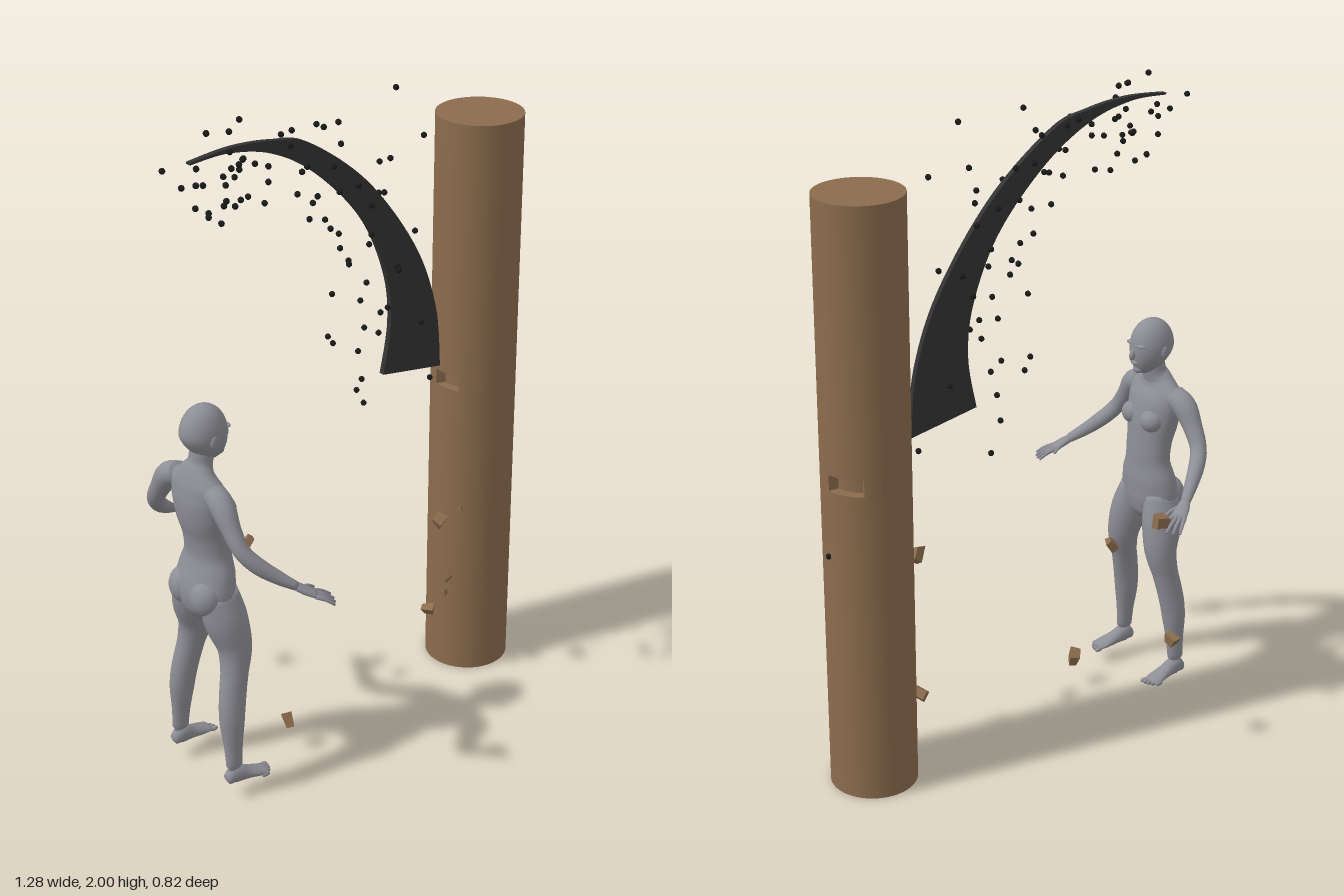
import * as THREE from 'three';
import { mergeGeometries } from 'three/addons/utils/BufferGeometryUtils.js';

const mat = (name, color) => Object.assign(new THREE.MeshStandardMaterial({ color }), { name });
const wood = mat('wood brown', 0x8b6c4d);
const skin = mat('body grey', 0x8e8f96);
const blade = mat('slash charcoal', 0x333333);
const ink = mat('speck black', 0x1a1a1a);
const V = (x, y, z) => new THREE.Vector3(x, y, z);

let seed = 7;
const rand = () => (seed = (seed * 16807) % 2147483647) / 2147483647;

function add(parent, name, geometry, material, x = 0, y = 0, z = 0) {
  const mesh = new THREE.Mesh(geometry, material);
  mesh.name = name;
  mesh.position.set(x, y, z);
  parent.add(mesh);
  return mesh;
}

// Smooth skin over elliptical stations [x, y, z, radius along side, other radius]
function loft(stations, side, n = 20, perSpan = 4) {
  const path = new THREE.CatmullRomCurve3(stations.map(s => V(s[0], s[1], s[2])));
  const size = new THREE.CatmullRomCurve3(stations.map(s => V(s[3], s[4], 0)));
  const steps = (stations.length - 1) * perSpan, pos = [], idx = [];
  const ring = (p, u, v, a, b) => {
    for (let j = 0; j < n; j++) {
      const q = j / n * Math.PI * 2;
      const w = p.clone().addScaledVector(u, Math.cos(q) * a).addScaledVector(v, Math.sin(q) * b);
      pos.push(w.x, w.y, w.z);
    }
  };
  for (let i = 0; i <= steps; i++) {
    const p = path.getPoint(i / steps), r = size.getPoint(i / steps), t = path.getTangent(i / steps);
    const u = side.clone().addScaledVector(t, -side.dot(t)).normalize(), v = t.clone().cross(u);
    if (i === 0) ring(p.clone().addScaledVector(t, -0.3 * r.y), u, v, 1e-4, 1e-4);
    ring(p, u, v, r.x, r.y);
    if (i === steps) ring(p.clone().addScaledVector(t, 0.3 * r.y), u, v, 1e-4, 1e-4);
  }
  for (let i = 0; i < steps + 2; i++) for (let j = 0; j < n; j++) {
    const a = i * n + j, b = i * n + (j + 1) % n;
    idx.push(a, b, a + n, b, b + n, a + n);
  }
  const g = new THREE.BufferGeometry();
  g.setAttribute('position', new THREE.Float32BufferAttribute(pos, 3));
  g.setIndex(idx);
  g.computeVertexNormals();
  return g;
}

const ellipsoid = (a, b, c) => new THREE.SphereGeometry(1, 20, 14).scale(a, b, c);

function buildPillar() {
  const pillar = new THREE.Group(), R = 0.13, y0 = 0.977, y1 = 1.026;
  pillar.name = 'pillar';
  pillar.position.set(0.5, 0, 0.004);
  add(pillar, 'lowerPillar', new THREE.CylinderGeometry(R, R, y0, 64), wood, 0, y0 / 2);
  add(pillar, 'upperPillar', new THREE.CylinderGeometry(R, R, 1.82 - y1, 64), wood, 0, (1.82 + y1) / 2);
  // Thin slice with a chipped notch on each side
  const outline = [];
  for (let i = 0; i < 128; i++) {
    const a = i / 128 * Math.PI * 2;
    const cut = (a > 0.12 && a < 0.95) || Math.abs(a - Math.PI - 0.14) < 0.32;
    const r = cut ? 0.1 : R;
    outline.push(new THREE.Vector2(r * Math.cos(a), r * Math.sin(a)));
  }
  const slice = new THREE.ExtrudeGeometry(new THREE.Shape(outline), { depth: y1 - y0, bevelEnabled: false });
  add(pillar, 'notchedSlice', slice.rotateX(-Math.PI / 2), wood, 0, y0);
  return pillar;
}

function buildSlash() {
  const P = (x, y) => new THREE.Vector2(x, y);
  const shape = new THREE.Shape();
  shape.moveTo(-0.56, 1.922);
  shape.splineThru([P(-0.42, 1.932), P(-0.28, 1.918), P(-0.15, 1.88), P(0.06, 1.715), P(0.24, 1.475), P(0.325, 1.26), P(0.347, 1.06)]);
  shape.lineTo(0.12, 1.10);
  shape.splineThru([P(0.148, 1.26), P(0.128, 1.42), P(0.04, 1.61), P(-0.12, 1.78), P(-0.28, 1.88), P(-0.43, 1.918), P(-0.56, 1.916)]);
  const g = new THREE.ExtrudeGeometry(shape, { depth: 0.017, bevelEnabled: false, curveSegments: 8 });
  return g.rotateY(0.0176);
}

// Specks scattered along the sweep of the slash
function buildSpecks() {
  const sweep = new THREE.CatmullRomCurve3([V(-0.57, 1.8, 0.04), V(-0.4, 1.86, 0.03), V(-0.18, 1.82, 0.02),
    V(0, 1.66, 0.01), V(0.1, 1.4, 0.01), V(0.18, 1.12, 0.01)]);
  const dot = p => new THREE.SphereGeometry(0.009, 8, 6).translate(p.x, p.y, p.z);
  const dots = [dot(V(-0.5, 1.988, 0.03)), dot(V(0.632, 0.77, 0)), dot(V(0.18, 1.96, 0)), dot(V(0.26, 1.81, 0.03))];
  for (let i = 0; i < 84; i++) {
    const t = i / 84, p = sweep.getPoint(t), spread = 0.13 + 0.03 * t;
    p.x += (rand() * 2 - 1) * (t < 0.15 ? 0.06 : spread);
    p.y = Math.min(p.y + (rand() * 2 - 1) * spread, 1.985);
    p.z += (rand() * 2 - 1) * 0.07;
    dots.push(dot(p));
  }
  return mergeGeometries(dots);
}

// Skewed, tapered splinter of wood
function chunk(w, h, d) {
  const g = new THREE.BoxGeometry(w, h, d), p = g.attributes.position;
  for (let i = 0; i < p.count; i++) {
    const x = p.getX(i), y = p.getY(i), z = p.getZ(i), top = y > 0 ? 0.72 : 1;
    p.setXYZ(i, x * top + y * 0.2, y * (z > 0 ? 1 : 0.75), z * (x > 0 ? 0.8 : 1.1));
  }
  g.computeVertexNormals();
  return g;
}

function buildHead() {
  const head = new THREE.Group();
  head.name = 'head';
  head.position.set(-0.545, 1.135, 0);
  const g = new THREE.SphereGeometry(1, 32, 24), p = g.attributes.position;
  for (let i = 0; i < p.count; i++) {
    const x = p.getX(i), y = p.getY(i), z = p.getZ(i), low = Math.max(0, -y);
    const back = x < 0 ? 1 - 0.35 * low : 1;
    p.setXYZ(i, x * 0.072 * back + 0.024 * low * low, y * 0.086, z * 0.06 * (1 - 0.28 * low * low));
  }
  g.computeVertexNormals();
  add(head, 'skull', g, skin);
  const nose = add(head, 'nose', ellipsoid(0.011, 0.02, 0.009), skin, 0.073, -0.016);
  nose.rotation.z = 0.3;
  add(head, 'lips', ellipsoid(0.009, 0.007, 0.017), skin, 0.065, -0.044);
  add(head, 'chin', ellipsoid(0.016, 0.013, 0.018), skin, 0.05, -0.068);
  for (const s of [1, -1]) {
    add(head, 'brow', ellipsoid(0.012, 0.006, 0.018), skin, 0.059, 0.014, s * 0.024);
    add(head, 'ear', ellipsoid(0.013, 0.02, 0.006), skin, -0.005, -0.01, s * 0.059);
  }
  return head;
}

function buildLimbs(body, s) {
  const at = list => list.map(([x, y, z, a, b]) => [x, y, z * s, a, b]);
  const zAxis = V(0, 0, 1);
  add(body, 'leg', loft(at([[-0.555, 0.65, 0.058, 0.046, 0.062], [-0.542, 0.57, 0.077, 0.056, 0.066],
    [-0.526, 0.48, 0.094, 0.048, 0.052], [-0.538, 0.4, 0.106, 0.038, 0.042], [-0.547, 0.36, 0.111, 0.036, 0.042],
    [-0.558, 0.3, 0.118, 0.035, 0.041], [-0.563, 0.25, 0.122, 0.034, 0.038], [-0.565, 0.17, 0.128, 0.024, 0.029],
    [-0.566, 0.11, 0.132, 0.02, 0.026], [-0.566, 0.07, 0.133, 0.02, 0.026]]), zAxis), skin);
  add(body, 'foot', loft(at([[-0.592, 0.066, 0.132, 0.016, 0.016], [-0.565, 0.076, 0.132, 0.022, 0.029],
    [-0.525, 0.067, 0.135, 0.024, 0.02], [-0.485, 0.058, 0.139, 0.029, 0.012], [-0.462, 0.054, 0.141, 0.026, 0.008]]), zAxis), skin);
  for (let k = 0; k < 5; k++) {
    add(body, 'toe', ellipsoid(0.014, 0.007, k ? 0.0055 : 0.008), skin, -0.453 - k * k * 0.0015, 0.052, s * (0.12 + k * 0.0115));
  }
  add(body, 'buttock', ellipsoid(0.047, 0.058, 0.05), skin, -0.588, 0.645, s * 0.05);
  add(body, 'breast', ellipsoid(0.036, 0.036, 0.037), skin, -0.516, 0.905, s * 0.046);
  add(body, 'arm', loft(at([[-0.572, 0.985, 0.08, 0.034, 0.036], [-0.578, 0.967, 0.122, 0.036, 0.037],
    [-0.58, 0.91, 0.165, 0.028, 0.03], [-0.573, 0.855, 0.203, 0.024, 0.026], [-0.545, 0.815, 0.231, 0.024, 0.025],
    [-0.5, 0.775, 0.262, 0.02, 0.021], [-0.455, 0.742, 0.292, 0.013, 0.016]]), V(1, 1, 0)), skin);
  // Open hand with spread fingers
  const w = V(-0.45, 0, 0.89 * s), d = V(0.8, -0.45, 0.36 * s).normalize();
  add(body, 'palm', loft(at([[-0.458, 0.744, 0.29, 0.015, 0.012], [-0.435, 0.728, 0.303, 0.022, 0.012],
    [-0.408, 0.712, 0.317, 0.026, 0.009]]), w, 14), skin);
  const finger = (name, base, tip) => {
    const mid = base.clone().lerp(tip, 0.5);
    mid.y += 0.004;
    add(body, name, loft([[...base, 0.007, 0.007], [...mid, 0.006, 0.006], [...tip, 0.004, 0.004]], w, 8), skin);
  };
  for (let k = -1.5; k <= 1.5; k++) {
    const base = V(-0.41, 0.712, 0.317 * s).addScaledVector(w, k * 0.0125);
    finger('finger', base, base.clone().addScaledVector(d, 0.066 - Math.abs(k) * 0.006).addScaledVector(w, k * 0.008));
  }
  const root = V(-0.44, 0.73, 0.3 * s).addScaledVector(w, -0.012);
  finger('thumb', root, root.clone().addScaledVector(d, 0.045).addScaledVector(w, -0.028));
}

function buildFigure() {
  const body = new THREE.Group();
  body.name = 'figure';
  body.position.z = 0.038;
  add(body, 'torso', loft([[-0.555, 0.56, 0, 0.035, 0.035], [-0.555, 0.595, 0, 0.09, 0.064], [-0.555, 0.65, 0, 0.108, 0.073],
    [-0.545, 0.71, 0, 0.1, 0.066], [-0.541, 0.77, 0, 0.081, 0.058], [-0.546, 0.83, 0, 0.083, 0.06],
    [-0.556, 0.89, 0, 0.094, 0.066], [-0.564, 0.95, 0, 0.103, 0.062], [-0.57, 0.995, 0, 0.1, 0.049],
    [-0.567, 1.025, 0, 0.062, 0.04], [-0.558, 1.05, 0, 0.036, 0.036], [-0.55, 1.1, 0, 0.031, 0.034]], V(0, 0, 1), 32), skin);
  body.add(buildHead());
  buildLimbs(body, 1);
  buildLimbs(body, -1);
  return body;
}

export function createModel() {
  const model = new THREE.Group();
  model.name = 'slashScene';
  model.add(buildPillar(), buildFigure());
  add(model, 'slashArc', buildSlash(), blade, 0, 0, 0.0105);
  add(model, 'specks', buildSpecks(), ink);
  // Falling wood chunks: x, y, z, size
  const chunks = [[-0.36, 0.705, -0.26, 0.055], [-0.265, 0.61, -0.14, 0.038], [-0.31, 0.38, -0.385, 0.045],
    [-0.3, 0.105, 0.087, 0.048], [0.255, 0.612, 0.135, 0.052], [0.34, 0.62, 0.132, 0.018],
    [0.32, 0.38, 0.1, 0.045], [0.31, 0.318, 0.1, 0.025], [0.325, 0.215, 0.015, 0.043]];
  chunks.forEach(([x, y, z, q], i) => {
    const c = add(model, 'woodChunk', chunk(q, q * 0.8, q * 0.6), wood, x, y, z);
    c.rotation.set(i * 0.9, i * 0.7, 0.15 + i * 0.5);
  });
  return model;
}
